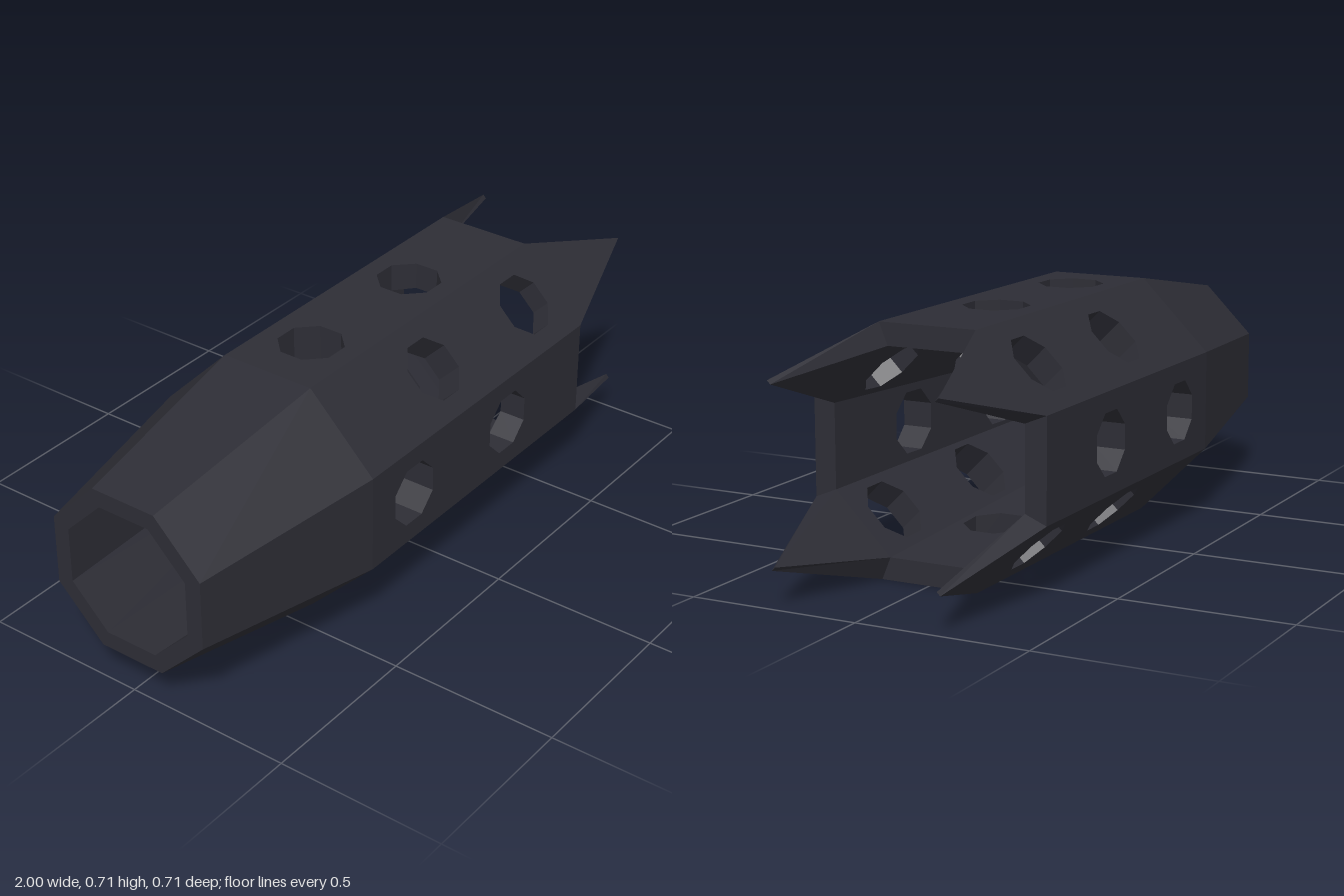
import * as THREE from 'three';

const TAN = Math.tan(Math.PI / 8);       // half width of an octagon side per unit of apothem
const BACK = -1, KNEE = -0.41, RIM = 0.625, TIP = 1;
const R_OUT = 0.354, R_BACK = 0.25, R_IN_RIM = 0.29, R_IN_BACK = 0.2, R_TIP_IN = 0.34;
const HOLE = 0.0885 / Math.cos(Math.PI / 8);

// Bore radius narrows evenly from the open end to the back
const bore = (x) => R_IN_BACK + (R_IN_RIM - R_IN_BACK) * (x - BACK) / (RIM - BACK);

// Flat faces from lists of corners (along, across, outward)
function faces(polys) {
  const p = [];
  for (const poly of polys)
    for (let i = 1; i < poly.length - 1; i++) p.push(...poly[0], ...poly[i], ...poly[i + 1]);
  const g = new THREE.BufferGeometry();
  g.setAttribute('position', new THREE.Float32BufferAttribute(p, 3));
  g.computeVertexNormals();
  return g;
}

const octagon = (cx) => Array.from({ length: 8 }, (_, i) => {
  const a = Math.PI / 8 + i * Math.PI / 4;
  return new THREE.Vector2(cx + HOLE * Math.cos(a), HOLE * Math.sin(a));
});

// Pierced plate whose height follows radius(x)
function plate(outline, holes, radius, inward) {
  const s = new THREE.Shape(outline.map(([x, y]) => new THREE.Vector2(x, y)));
  s.holes = holes.map((h) => new THREE.Path(h));
  const g = new THREE.ShapeGeometry(s);
  const pos = g.attributes.position;
  for (let i = 0; i < pos.count; i++) pos.setZ(i, radius(pos.getX(i)));
  if (inward) g.setIndex(Array.from(g.index.array).reverse());
  const flat = g.toNonIndexed();
  flat.computeVertexNormals();
  return flat;
}

export function createModel() {
  const model = new THREE.Group();
  model.name = 'octagonalTube';
  const metal = new THREE.MeshStandardMaterial({ color: 0x2d2d35 });
  metal.name = 'dark metal';

  const b = R_OUT * TAN, a = R_BACK * TAN, c = R_IN_RIM * TAN, d = R_IN_BACK * TAN;

  function panel(pronged) {
    const holes = (pronged ? [0.012, 0.472] : [-0.218, 0.242]).map(octagon);
    const outline = [[KNEE, -b], [RIM, -b], ...(pronged ? [[TIP, 0]] : []), [RIM, b], [KNEE, b]];
    const parts = {
      outerPlate: plate(outline, holes, () => R_OUT, false),
      innerPlate: plate([[BACK, -d], [RIM, -c], [RIM, c], [BACK, d]], holes, bore, true),
      taperPlate: faces([[[BACK, -a, R_BACK], [KNEE, -b, R_OUT], [KNEE, b, R_OUT], [BACK, a, R_BACK]]]),
      backRim: faces([[[BACK, -a, R_BACK], [BACK, a, R_BACK], [BACK, d, R_IN_BACK], [BACK, -d, R_IN_BACK]]]),
      holeWalls: faces(holes.flatMap((h) => h.map((p, i) => {
        const q = h[(i + 1) % 8];
        return [[p.x, p.y, R_OUT], [q.x, q.y, R_OUT], [q.x, q.y, bore(q.x)], [p.x, p.y, bore(p.x)]];
      }))),
    };
    if (pronged) {
      // Underside and two flanks of the pointed prong
      const side = [[RIM, b, R_OUT], [TIP, 0, R_OUT], [TIP, 0, R_TIP_IN], [RIM, c, R_IN_RIM]];
      parts.prong = faces([
        [[RIM, -c, R_IN_RIM], [RIM, c, R_IN_RIM], [TIP, 0, R_TIP_IN]],
        side,
        side.map(([x, y, z]) => [x, -y, z]).reverse(),
      ]);
    } else {
      parts.frontRim = faces([[[RIM, b, R_OUT], [RIM, -b, R_OUT], [RIM, -c, R_IN_RIM], [RIM, c, R_IN_RIM]]]);
    }
    return parts;
  }

  // Plain and pronged panels alternate around the axis
  const kinds = [panel(false), panel(true)];
  for (let k = 0; k < 8; k++) {
    const g = new THREE.Group();
    g.name = k % 2 ? 'prongedPanel' : 'plainPanel';
    for (const [name, geometry] of Object.entries(kinds[k % 2])) {
      const m = new THREE.Mesh(geometry, metal);
      m.name = name;
      g.add(m);
    }
    g.rotation.x = k * Math.PI / 4;
    g.position.y = R_OUT;
    model.add(g);
  }
  return model;
}
